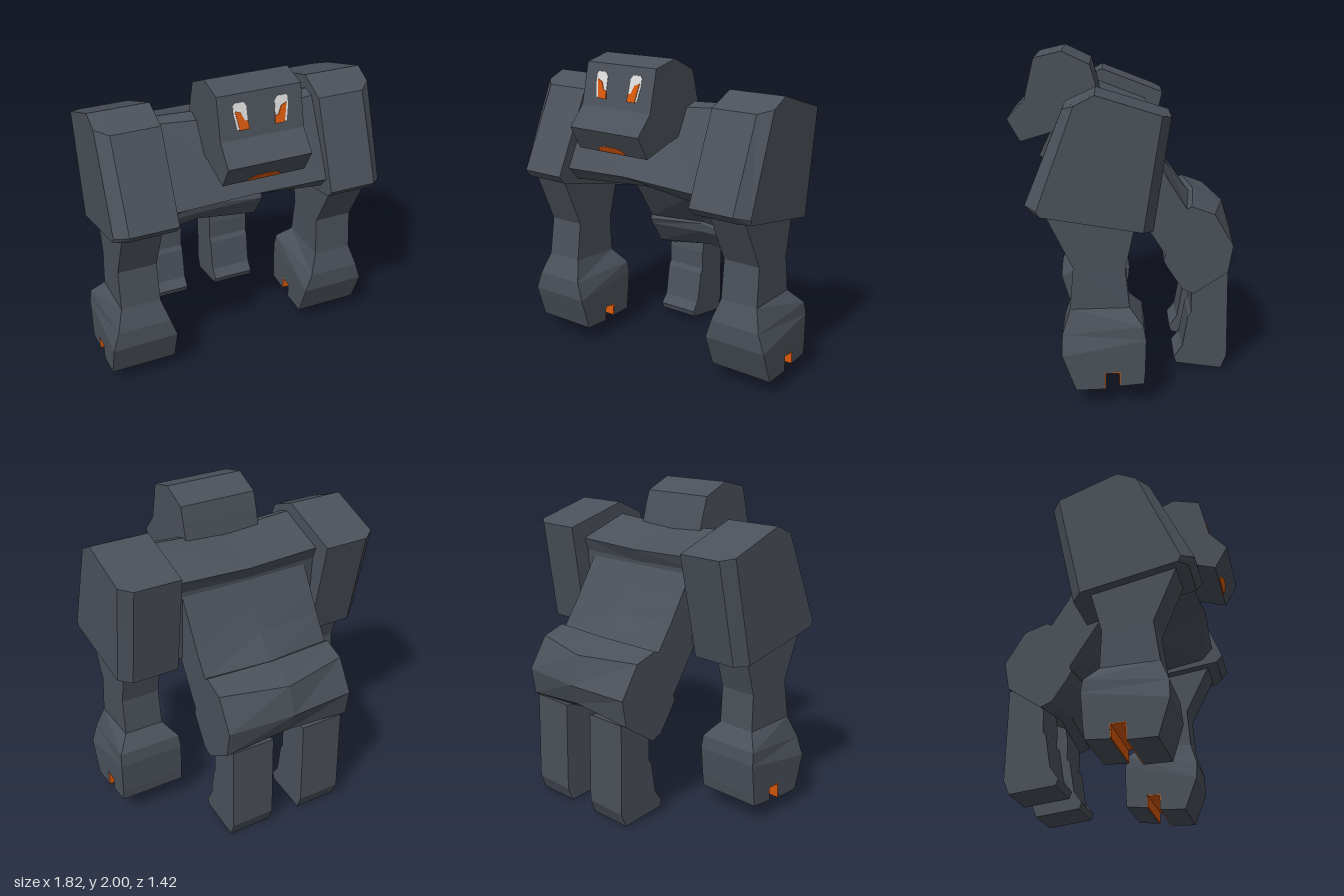
import * as THREE from 'three';

const mat = (name, color, flat = true) => {
  const m = new THREE.MeshStandardMaterial({ color, flatShading: flat });
  m.name = name;
  return m;
};

// Skin a closed solid through matching rings of [x, y, z] points.
function loft(rings) {
  const pos = [], n = rings[0].length;
  const mid = (r) => [0, 1, 2].map((k) => r.reduce((s, p) => s + p[k], 0) / n);
  const first = rings[0], last = rings[rings.length - 1];
  const c0 = mid(first), c1 = mid(last), tris = [];
  for (let j = 0; j < n; j++) {
    const k = (j + 1) % n;
    for (let i = 0; i < rings.length - 1; i++) {
      const a = rings[i], b = rings[i + 1];
      tris.push([a[j], a[k], b[k]], [a[j], b[k], b[j]]);
    }
    tris.push([c0, first[k], first[j]], [c1, last[j], last[k]]);
  }
  // Turn faces outward
  const V = (p) => new THREE.Vector3(...p);
  const volume = tris.reduce((s, [a, b, c]) => s + V(a).sub(V(c0)).dot(V(b).sub(V(c0)).cross(V(c).sub(V(c0)))), 0);
  for (const [a, b, c] of tris) pos.push(...a, ...(volume < 0 ? [...c, ...b] : [...b, ...c]));
  const g = new THREE.BufferGeometry();
  g.setAttribute('position', new THREE.Float32BufferAttribute(pos, 3));
  g.computeVertexNormals();
  return g;
}

// Side profile of [z, y] points placed at x
const slice = (x, profile) => profile.map(([z, y]) => [x, y, z]);
const prism = (profile, x0, x1) => loft([slice(x0, profile), slice(x1, profile)]);
// Body piece with a different profile on its centre line
const ridged = (edge, centre, w) => loft([slice(-w, edge), slice(0, centre), slice(w, edge)]);
// Thin painted plate of [x, y] points on a sloping face
const plate = (pts, zAt, lift) =>
  loft([-0.002, lift].map((d) => pts.map(([x, y]) => [x, y, zAt(y) + d])));

export function createModel() {
  const model = new THREE.Group();
  const stone = mat('slateGrey', 0x4b515a);
  const orange = mat('glowOrange', 0xd9590c);
  const white = mat('eyeWhite', 0xdedede);
  const add = (name, geo, m = stone, parent = model) => {
    const mesh = new THREE.Mesh(geo, m);
    mesh.name = name;
    parent.add(mesh);
    return mesh;
  };

  // Head
  add('head', prism([[0.54, 1.96], [0.37, 2.0], [0.2, 1.92], [0.17, 1.82], [0.13, 1.66],
    [0.28, 1.55], [0.43, 1.51], [0.63, 1.45], [0.71, 1.59], [0.6, 1.71]], -0.262, 0.262));

  // Eyes and mouth
  const faceZ = (y) => 0.54 + (1.96 - y) * 0.24;
  const jawZ = (y) => 0.63 + (y - 1.45) * 0.571;
  for (const s of [1, -1]) {
    const side = s > 0 ? 'left' : 'right';
    const flip = (pts) => pts.map(([x, y]) => [x * s, y]);
    add(side + 'EyeWhite', plate(flip([[0.085, 1.765], [0.155, 1.765], [0.17, 1.85],
      [0.17, 1.9], [0.16, 1.912], [0.105, 1.912], [0.088, 1.89]]), faceZ, 0.003), white);
    add(side + 'Iris', plate(flip([[0.08, 1.76], [0.14, 1.76], [0.16, 1.87], [0.125, 1.855],
      [0.105, 1.81], [0.085, 1.805]]), faceZ, 0.007), orange);
  }
  add('mouth', plate([[-0.11, 1.453], [0.11, 1.453], [0.085, 1.48], [0.04, 1.492],
    [-0.04, 1.492], [-0.085, 1.48]], jawZ, 0.005), orange);

  // Chest, waist and pelvis
  add('chest', ridged(
    [[0.18, 1.74], [0.25, 1.72], [0.49, 1.25], [0.42, 1.17], [-0.1, 1.06], [-0.13, 1.53], [-0.16, 1.61]],
    [[0.17, 1.71], [0.26, 1.68], [0.52, 1.28], [0.08, 1.11], [-0.12, 1.05], [-0.14, 1.52], [-0.18, 1.6]], 0.52));
  add('waist', ridged(
    [[-0.1, 1.55], [-0.21, 1.36], [-0.29, 1.22], [-0.4, 1.05], [-0.4, 0.8], [-0.27, 0.76], [-0.09, 1.04], [0.2, 1.18]],
    [[-0.11, 1.55], [-0.22, 1.36], [-0.31, 1.22], [-0.44, 1.06], [-0.4, 0.8], [-0.26, 0.8], [-0.06, 1.0], [0.1, 1.14]], 0.44));
  add('pelvis', ridged(
    [[-0.38, 1.06], [-0.42, 1.08], [-0.56, 1.03], [-0.68, 0.83], [-0.65, 0.66], [-0.44, 0.52], [-0.37, 0.55], [-0.27, 0.7], [-0.25, 0.74]],
    [[-0.43, 1.07], [-0.46, 1.09], [-0.65, 1.01], [-0.71, 0.83], [-0.66, 0.7], [-0.44, 0.6], [-0.37, 0.61], [-0.26, 0.73], [-0.25, 0.79]], 0.44));

  // Arms and legs
  const shoulder = [[0.16, 1.82], [0.34, 1.735], [0.56, 1.19], [0.52, 1.145], [-0.17, 1.035], [-0.265, 1.69]];
  const bevel = [[0.16, 1.82], [0.275, 1.76], [0.49, 1.17], [0.47, 1.137], [-0.11, 1.045], [-0.21, 1.706]];
  const leg = [[-0.45, 0.62], [-0.43, 0.5], [-0.43, 0.38], [-0.41, 0.35], [-0.375, 0.135], [-0.325, 0.08],
    [-0.34, 0.04], [-0.625, 0.003], [-0.66, 0.09], [-0.655, 0.66]];
  for (const s of [1, -1]) {
    const side = s > 0 ? 'left' : 'right';
    add(side + 'Leg', prism(leg, 0.112 * s, 0.4 * s));

    // The right arm swings slightly forward from the shoulder
    const pivot = new THREE.Group();
    pivot.name = side + 'Arm';
    const arm = new THREE.Group();
    arm.name = side + 'ArmParts';
    pivot.position.y = 1.45;
    arm.position.y = -1.45;
    if (s < 0) {
      pivot.rotation.x = -0.07;
      pivot.position.y -= 0.02;
    }
    pivot.add(arm);
    model.add(pivot);

    add(side + 'UpperArm', loft([slice(0.505 * s, shoulder), slice(0.81 * s, shoulder), slice(0.885 * s, bevel)]), stone, arm);

    // Ring from front and back [z, y, half width]
    const ring = ([zf, yf, wf], [zb, yb, wb]) => [
      [(0.697 - wf) * s, yf, zf], [(0.697 + wf) * s, yf, zf],
      [(0.697 + wb) * s, yb, zb], [(0.697 - wb) * s, yb, zb]];
    add(side + 'Forearm', loft([
      ring([0.47, 1.18, 0.125], [-0.07, 1.1, 0.125]),
      ring([0.29, 0.82, 0.125], [-0.01, 0.81, 0.125]),
      ring([0.31, 0.57, 0.128], [-0.035, 0.58, 0.128]),
      ring([0.355, 0.43, 0.172], [-0.115, 0.49, 0.205]),
      ring([0.355, 0.31, 0.212], [-0.13, 0.41, 0.212]),
      ring([0.317, 0.21, 0.212], [-0.125, 0.21, 0.212])]), stone, arm);
    add(side + 'Fingers', loft([
      ring([0.317, 0.21, 0.212], [0.11, 0.21, 0.212]),
      ring([0.275, 0.1, 0.212], [0.11, 0.107, 0.212])]), stone, arm);
    add(side + 'Palm', loft([
      ring([0.02, 0.21, 0.212], [-0.125, 0.21, 0.212]),
      ring([0.02, 0.125, 0.212], [-0.12, 0.14, 0.212])]), stone, arm);

    // Glowing lining of the slot under the hand
    const lining = [[0.104, 0.11, 0.108, 0.21], [0.02, 0.026, 0.127, 0.21], [0.02, 0.11, 0.204, 0.21]];
    lining.forEach(([z0, z1, y0, y1], i) => {
      const m = add(side + 'SlotLining' + (i + 1), new THREE.BoxGeometry(0.422, y1 - y0, z1 - z0), orange, arm);
      m.position.set(0.697 * s, (y0 + y1) / 2, (z0 + z1) / 2);
    });
  }
  return model;
}
